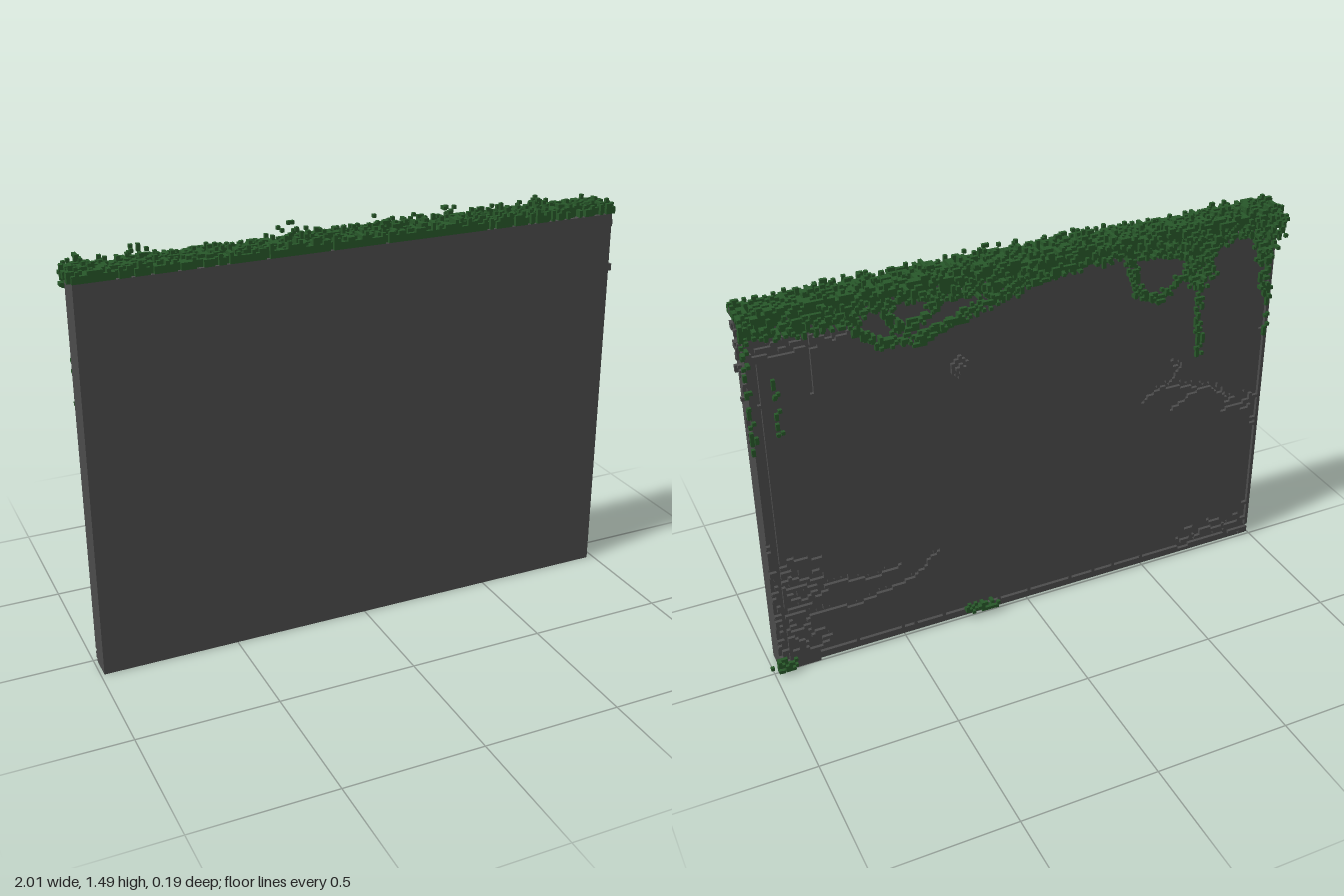
import * as THREE from 'three';

const S = 0.0125, X0 = -0.9875;      // voxel size and left edge of the wall
const NX = 157, NY = 112, DEPTH = 2; // wall cells, and depth of the weathered skin
const toI = (x) => Math.round((x - X0) / S), toJ = (y) => Math.round(y / S);
const key = (i, j, k) => ((i + 20) * 200 + j + 20) * 60 + k + 30;

function seeded(seed) {
  return () => {
    seed = (seed * 1664525 + 1013904223) >>> 0;
    return seed / 4294967296;
  };
}

// A set of cells that keeps only its outer faces when meshed
class Voxels {
  constructor() { this.cells = new Map(); }
  add(i, j, k) { this.cells.set(key(i, j, k), [i, j, k]); }
  remove(i, j, k) { this.cells.delete(key(i, j, k)); }
  has(i, j, k) { return this.cells.has(key(i, j, k)); }
  mesh(name, material, isCovered = () => false) {
    const pos = [];
    for (const c of this.cells.values()) {
      for (let a = 0; a < 3; a++) for (const sign of [1, -1]) {
        const n = c.slice();
        n[a] += sign;
        if (this.has(...n) || isCovered(...n)) continue;
        const corner = ([u, v]) => {
          const p = c.slice();
          if (sign > 0) p[a] += 1;
          p[(a + 1) % 3] += u;
          p[(a + 2) % 3] += v;
          return [X0 + p[0] * S, p[1] * S, p[2] * S];
        };
        const q = [[0, 0], [1, 0], [1, 1], [0, 1]].map(corner);
        if (sign < 0) q.reverse();
        for (const t of [0, 1, 2, 0, 2, 3]) pos.push(...q[t]);
      }
    }
    const g = new THREE.BufferGeometry();
    g.setAttribute('position', new THREE.Float32BufferAttribute(pos, 3));
    g.computeVertexNormals();
    const m = new THREE.Mesh(g, material);
    m.name = name;
    return m;
  }
}

// Visit the cells along a polyline of [x, y] points
function trace(points, visit) {
  for (let n = 0; n + 1 < points.length; n++) {
    const [ax, ay] = points[n], [bx, by] = points[n + 1];
    const steps = Math.ceil(Math.max(Math.abs(bx - ax), Math.abs(by - ay)) / S);
    for (let t = 0; t <= steps; t++) {
      visit(toI(ax + (bx - ax) * t / steps), toJ(ay + (by - ay) * t / steps));
    }
  }
}

function buildSkin(material) {
  const rnd = seeded(7), skin = new Voxels();
  for (let i = 0; i < NX; i++) for (let j = 0; j < NY; j++) {
    for (let k = 0; k < DEPTH; k++) skin.add(i, j, k);
  }
  const carve = (i, j) => skin.remove(i, j, 0);

  // Worn border around the back
  for (let j = 3; j < NY; j++) {
    if (rnd() < 0.96) { carve(1, j); carve(2, j); }
    if (rnd() < 0.96) carve(NX - 3, j);
    if (j < 48 && rnd() < 0.25) carve(NX - 1, j);
  }
  for (let i = 0; i < NX - 12; i++) {
    carve(i, 0);
    if (rnd() < 0.9) carve(i, 3);
  }
  for (let i = 2; i < NX - 2; i++) carve(i, NY - 3);

  // Branching cracks
  const cracks = [
    [[-0.48, 0.755], [-0.55, 0.8], [-0.64, 0.78], [-0.76, 0.75], [-0.85, 0.68], [-0.97, 0.63]],
    [[-0.59, 0.9], [-0.62, 0.86], [-0.57, 0.79]],
    [[-0.6, 0.69], [-0.68, 0.74], [-0.76, 0.75]],
    [[-0.82, 0.62], [-0.9, 0.66]],
    [[0.97, 0.17], [0.8, 0.22], [0.67, 0.2], [0.45, 0.25], [0.35, 0.34]],
    [[0.9, 0.3], [0.75, 0.33], [0.6, 0.3], [0.5, 0.32]],
    [[0.76, 1.31], [0.76, 1.1]],
    [[0.9, 1.3], [0.8, 1.33], [0.68, 1.28], [0.6, 1.3]],
  ];
  for (const c of cracks) trace(c, (i, j) => {
    carve(i, j);
    if (rnd() < 0.3) carve(i, j + 1);
  });

  // Crumbled patches: centre, spread, number of short chips
  const patches = [[0.88, 0.26, 0.1, 0.2, 75], [0.85, 1.31, 0.11, 0.05, 22],
    [-0.82, 0.06, 0.14, 0.05, 24], [-0.93, 0.65, 0.04, 0.06, 8]];
  for (const [x, y, sx, sy, count] of patches) for (let n = 0; n < count; n++) {
    const i = toI(x + (rnd() * 2 - 1) * sx), j = toJ(y + (rnd() * 2 - 1) * sy);
    const len = 2 + Math.floor(rnd() * 5);
    for (let t = 0; t < len; t++) carve(i + t, j + Math.floor(t / 4));
  }

  // Stone knob on the back
  for (let a = -2; a <= 2; a++) for (let b = -3; b <= 3; b++) {
    if (Math.abs(a) + Math.abs(b) > 3) continue;
    skin.add(toI(0.245) + a, toJ(1.08) + b, -1);
    if (Math.abs(a) + Math.abs(b) < 2) skin.add(toI(0.245) + a, toJ(1.08) + b, -2);
  }
  // Loose chips on the left end
  for (let n = 0; n < 26; n++) {
    const j = toJ(0.92 + 0.48 * Math.sqrt(rnd())), k = Math.floor(rnd() * 8);
    skin.add(NX, j, k);
    if (rnd() < 0.5) skin.add(NX, j + 1, k);
  }
  const covered = (i, j, k) => k >= DEPTH && k < 8 && i >= 0 && i < NX && j >= 0 && j < NY;
  return skin.mesh('weatheredBack', material, covered);
}

function buildIvy(material) {
  const rnd = seeded(23), ivy = new Voxels();

  // Mat along the top, with leaf tips and a ragged overhang
  for (let i = -1; i <= NX; i++) {
    const x = X0 + i * S;
    const end = i < 0 || i >= NX;
    const tall = x > -0.28 && x < 0.75 ? 1 : 0;
    const drop = 2 + Math.round(1.5 + 1.5 * Math.sin(x * 9 + 1) + rnd() * 2);
    for (let k = -2; k < 8; k++) {
      const bare = end ? 0.45 : k > 5 && x > 0.45 ? 0.3 : 0.1;
      if (rnd() < bare) continue;
      const h = 2 + Math.floor(rnd() * 2);
      for (let j = 0; j < h; j++) ivy.add(i, NY + j, k);
      if (rnd() < 0.14 + tall * 0.12) ivy.add(i, NY + h, k);
      if (rnd() < 0.06 * tall) ivy.add(i + 1, NY + h + 1, k);
    }
    for (let j = -drop; j < 2; j++) for (let k = -1; k >= -4; k--) {
      if (rnd() < [0.75, 0.55, 0.2, 0.06][-k - 1]) ivy.add(i, NY + j, k);
    }
  }
  // Tall tufts
  for (const [x, top] of [[-0.76, 5], [-0.25, 6], [-0.2, 5], [0.1, 5], [0.35, 5], [0.7, 5]]) {
    for (let n = 0; n < 10; n++) {
      ivy.add(toI(x) + Math.floor(rnd() * 5) - 2, NY + 2 + Math.floor(rnd() * (top - 1)), Math.floor(rnd() * 5) - 1);
    }
  }

  // Hanging vines: path, half width, leaves per step
  const vines = [
    [[[0.64, 1.39], [0.6, 1.29], [0.53, 1.23], [0.39, 1.215], [0.2, 1.28], [0.08, 1.31], [0, 1.38]], 1.5, 5],
    [[[0.54, 1.37], [0.46, 1.27], [0.36, 1.29], [0.3, 1.38]], 1.2, 4],
    [[[-0.38, 1.37], [-0.43, 1.21], [-0.51, 1.165], [-0.61, 1.24], [-0.65, 1.35]], 1.2, 4],
    [[[-0.67, 1.4], [-0.67, 1.2]], 4, 12],
    [[[-0.67, 1.22], [-0.68, 1.02], [-0.69, 0.91]], 0.9, 2],
    [[[-0.94, 1.43], [-0.94, 1.26]], 3.5, 11],
    [[[-0.94, 1.28], [-0.96, 1.1]], 1.5, 4],
    [[[0.92, 0.03], [0.98, 0.03]], 2, 5],
    [[[0.14, 0.03], [0.24, 0.04]], 1.5, 4],
  ];
  for (const [path, w, leaves] of vines) trace(path, (i, j) => {
    for (let n = 0; n < leaves; n++) {
      const di = Math.round((rnd() * 2 - 1) * w), dj = Math.round((rnd() * 2 - 1) * Math.min(w, 2));
      ivy.add(i + di, Math.max(0, j + dj), rnd() < 0.6 ? -1 : -2);
      if (w > 3 && rnd() < 0.25) ivy.add(i + di, j + dj, -3 - Math.floor(rnd() * 2));
    }
  });
  // Leaves sticking out behind the right corner
  for (let n = 0; n < 22; n++) {
    ivy.add(Math.floor(rnd() * 5), NY - 4 + Math.floor(rnd() * 6), -4 - Math.floor(rnd() * 4));
  }
  // Sparse leaves down the corners
  for (const [x, y0, y1, count] of [[0.98, 0.92, 1.4, 26], [0.89, 0.96, 1.16, 9], [-0.97, 0.9, 1.1, 8], [0.98, 0.02, 0.05, 3]]) {
    for (let n = 0; n < count; n++) {
      const j = toJ(y0 + (y1 - y0) * rnd());
      ivy.add(toI(x), j, -1);
      ivy.add(toI(x) - (rnd() < 0.4 ? 1 : 0), j + 1, rnd() < 0.3 ? -2 : -1);
    }
  }
  return ivy.mesh('ivy', material);
}

export function createModel() {
  const stone = new THREE.MeshStandardMaterial({ color: 0x4c4c4c });
  stone.name = 'dark stone';
  const leaf = new THREE.MeshStandardMaterial({ color: 0x28582a });
  leaf.name = 'ivy green';

  // Solid front slab of the wall
  const depth = (8 - DEPTH) * S;
  const slab = new THREE.Mesh(new THREE.BoxGeometry(NX * S, NY * S, depth), stone);
  slab.position.set(X0 + NX * S / 2, NY * S / 2, DEPTH * S + depth / 2);
  slab.name = 'wallSlab';

  const model = new THREE.Group();
  model.name = 'ivyWall';
  model.add(slab, buildSkin(stone), buildIvy(leaf));
  return model;
}
